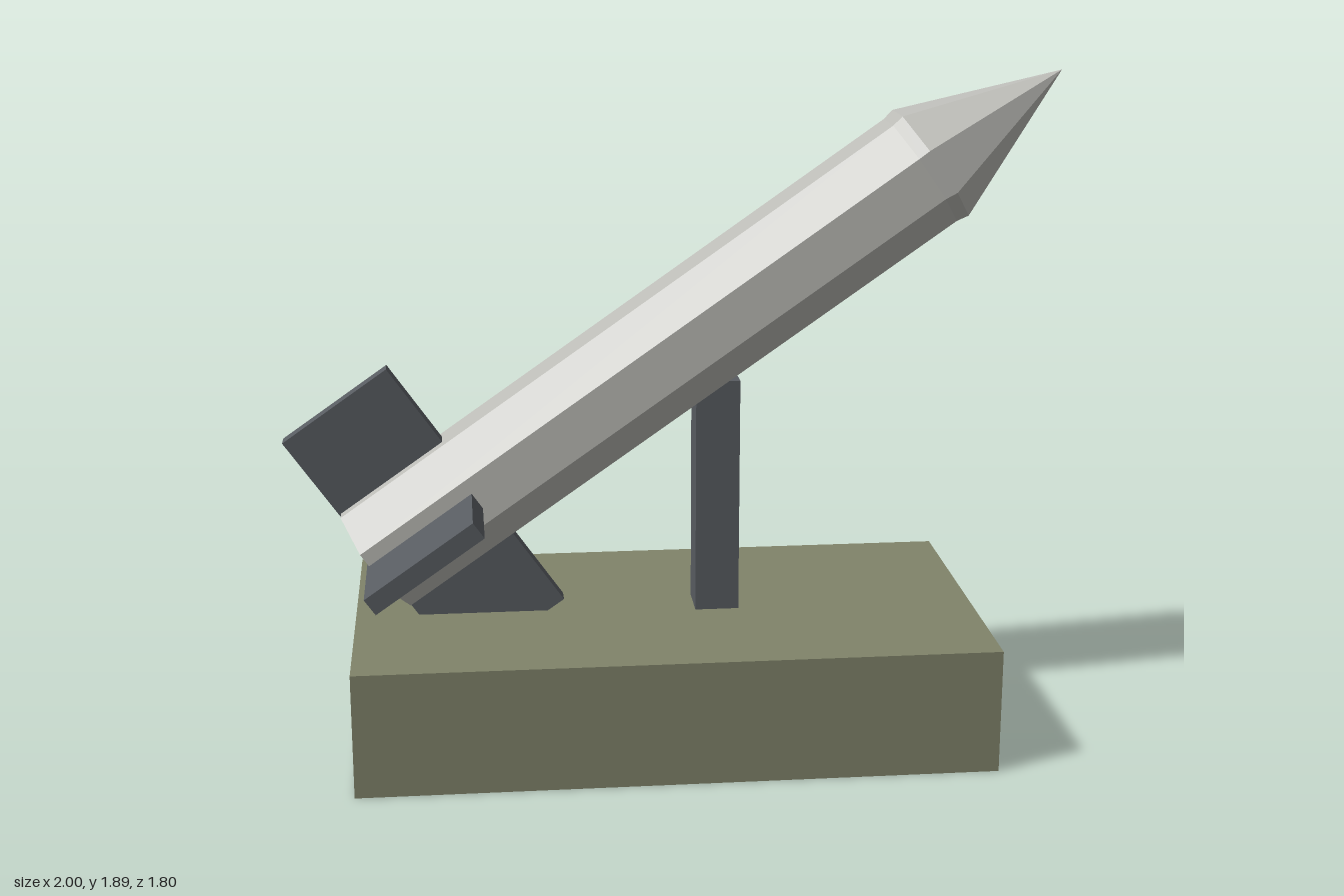
import * as THREE from 'three';

const DEG = Math.PI / 180;

export function createModel() {
  const flat = (name, color) => {
    const m = new THREE.MeshStandardMaterial({ color, flatShading: true });
    m.name = name;
    return m;
  };
  const paleGrey = flat('pale grey', 0xbcbcb7);
  const slate = flat('dark slate', 0x585c61);
  const olive = flat('olive', 0x80846a);

  const add = (parent, name, geometry, material, x = 0, y = 0, z = 0) => {
    const mesh = new THREE.Mesh(geometry, material);
    mesh.name = name;
    mesh.position.set(x, y, z);
    parent.add(mesh);
    return mesh;
  };

  // Eight-sided solid of revolution along +x, with flats facing up and sideways
  const octagon = (points) =>
    new THREE.LatheGeometry(points.map(([r, s]) => new THREE.Vector2(r, s)), 8, Math.PI / 8)
      .rotateZ(-Math.PI / 2);

  const model = new THREE.Group();
  model.name = 'rocketLauncher';

  // Everything is turned diagonally on the ground
  const launcher = new THREE.Group();
  launcher.name = 'launcher';
  launcher.rotation.y = -35 * DEG;
  model.add(launcher);

  add(launcher, 'base', new THREE.BoxGeometry(1.78, 0.355, 0.946), olive, 0, 0.1775, 0);
  add(launcher, 'supportPost', new THREE.BoxGeometry(0.125, 0.735, 0.125), slate, 0.147, 0.6675, 0);

  // Rocket: local x runs along its axis, raised 35 degrees
  const rocket = new THREE.Group();
  rocket.name = 'rocket';
  rocket.rotation.z = 35 * DEG;
  launcher.add(rocket);
  const axis = 0.911;

  add(rocket, 'body', octagon([[0, -0.371], [0.177, -0.371], [0.177, 1.515]]), paleGrey, 0, axis, 0);
  add(rocket, 'nose', octagon([[0.177, 1.515], [0.184, 1.55], [0, 1.994]]), paleGrey, 0, axis, 0);

  // Four tail fins in a cross
  const fins = new THREE.Group();
  fins.name = 'tailFins';
  fins.position.set(-0.198, axis, 0);
  rocket.add(fins);
  for (let i = 0; i < 4; i++) {
    const geometry = new THREE.BoxGeometry(0.36, 0.425, 0.053).translate(0, 0.2125, 0);
    add(fins, 'fin', geometry, slate).rotation.x = i * Math.PI / 2;
  }

  return model;
}
